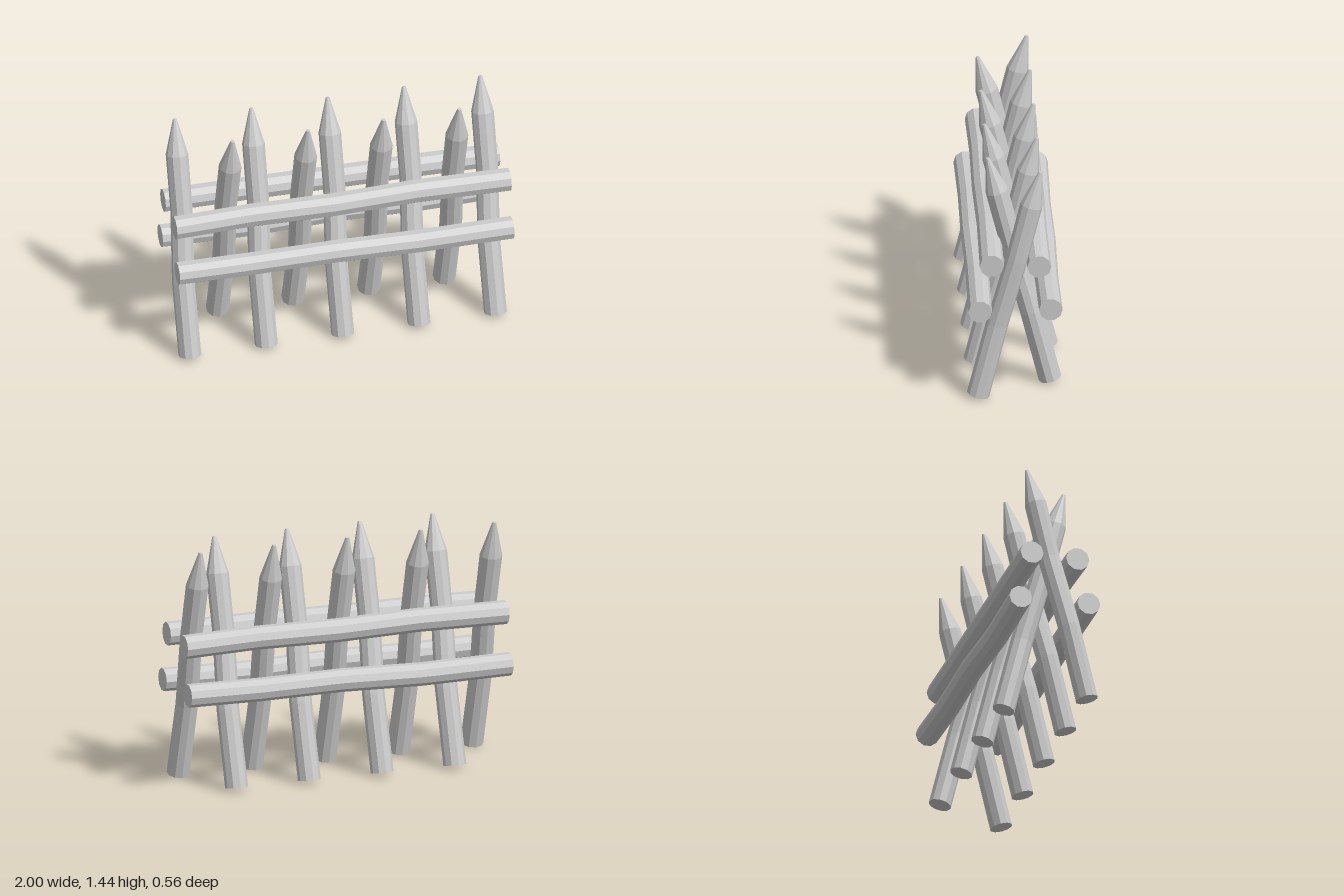
import * as THREE from 'three';

const material = new THREE.MeshStandardMaterial({ color: 0xcccccc, flatShading: true });

// Ten-sided log along y; each ring is [height, radius, x shift, z shift]
function logGeometry(rings) {
  const n = rings.length - 1;
  const geometry = new THREE.CylinderGeometry(1, 1, 1, 10, n);
  const p = geometry.attributes.position;
  for (let i = 0; i < p.count; i++) {
    const [h, r, dx, dz] = rings[Math.round((p.getY(i) + 0.5) * n)];
    p.setXYZ(i, p.getX(i) * r + dx, h, p.getZ(i) * r + dz);
  }
  geometry.computeVertexNormals();
  return geometry;
}

// Slightly crooked stake with a sharpened tip
const stakeGeometry = logGeometry([
  [0, 0.067, 0, 0],
  [0.46, 0.066, -0.012, 0.003],
  [0.9, 0.065, 0.006, -0.003],
  [1.25, 0.066, 0, 0],
  [1.466, 0.011, 0, 0],
]);

// Slightly wavy rail running along x, given its height offsets
function railGeometry(radius, offsets) {
  const xs = [-1, -0.55, -0.05, 0.45, 1];
  const rings = xs.map((x, i) => [x, radius, -offsets[i], i % 2 ? -0.003 : 0.003]);
  return logGeometry(rings).rotateZ(-Math.PI / 2);
}
const upperRailGeometry = railGeometry(0.07, [-0.006, 0.004, 0, 0.01, 0.004]);
const lowerRailGeometry = railGeometry(0.069, [0.006, -0.002, 0.005, -0.01, -0.002]);

function addPart(parent, name, geometry, x, y, z) {
  const mesh = new THREE.Mesh(geometry, material);
  mesh.name = name;
  mesh.position.set(x, y, z);
  parent.add(mesh);
  return mesh;
}

// One side of the barricade: leaning stakes and the two rails in front
function side(name, stakeXs) {
  const group = new THREE.Group();
  group.name = name;
  for (const x of stakeXs) {
    addPart(group, 'stake', stakeGeometry, x, 0.017, 0.213).rotation.x = -0.25;
  }
  addPart(group, 'upperRail', upperRailGeometry, 0, 0.88, 0.135);
  addPart(group, 'lowerRail', lowerRailGeometry, 0, 0.592, 0.202);
  return group;
}

export function createModel() {
  const model = new THREE.Group();
  model.name = 'stakeBarricade';
  const front = side('frontSide', [-0.927, -0.47, -0.013, 0.443, 0.9]);
  // The back is the same side turned around, with its stakes in the gaps
  const back = side('backSide', [0.657, 0.205, -0.248, -0.7]);
  back.rotation.y = Math.PI;
  model.add(front, back);
  return model;
}
